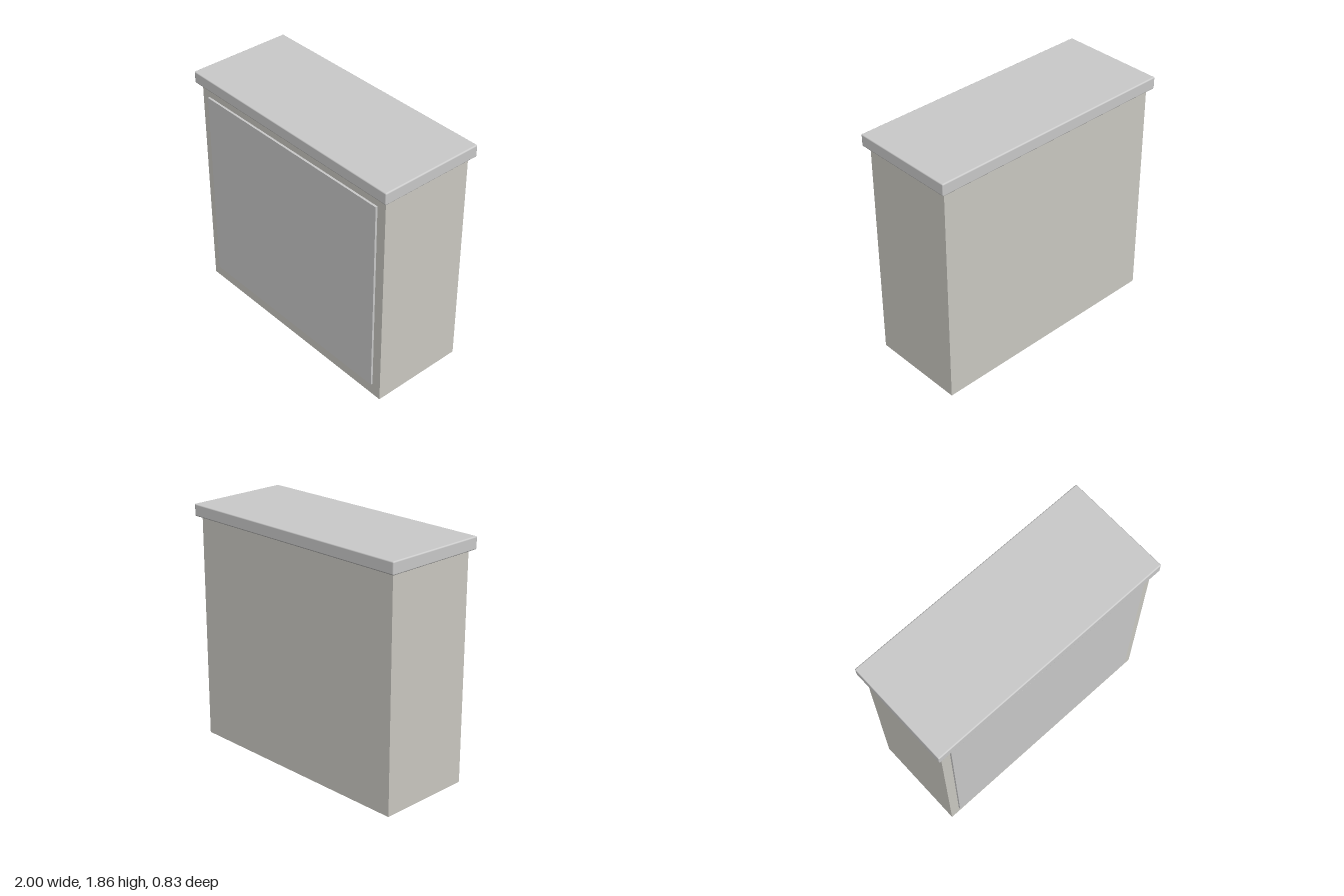
import * as THREE from 'three';
import { RoundedBoxGeometry } from 'three/addons/geometries/RoundedBoxGeometry.js';

export function createModel() {
  const model = new THREE.Group();
  model.name = 'cabinet';
  const grey = new THREE.MeshStandardMaterial({ color: 0xcccccc });
  const warmGrey = new THREE.MeshStandardMaterial({ color: 0xcdcbc4 });

  const add = (name, geometry, material, y, z = 0) => {
    const mesh = new THREE.Mesh(geometry, material);
    mesh.name = name;
    mesh.position.set(0, y, z);
    model.add(mesh);
  };

  // Plain upright body
  add('body', new THREE.BoxGeometry(1.92, 1.765, 0.75), warmGrey, 0.8825);

  // Thin door panel standing proud of the front
  add('frontPanel', new THREE.BoxGeometry(1.77, 1.575, 0.03), grey, 0.8875, 0.377);

  // Overhanging lid with softened edges
  add('lid', new RoundedBoxGeometry(2, 0.094, 0.83, 4, 0.01), grey, 1.808);

  return model;
}
